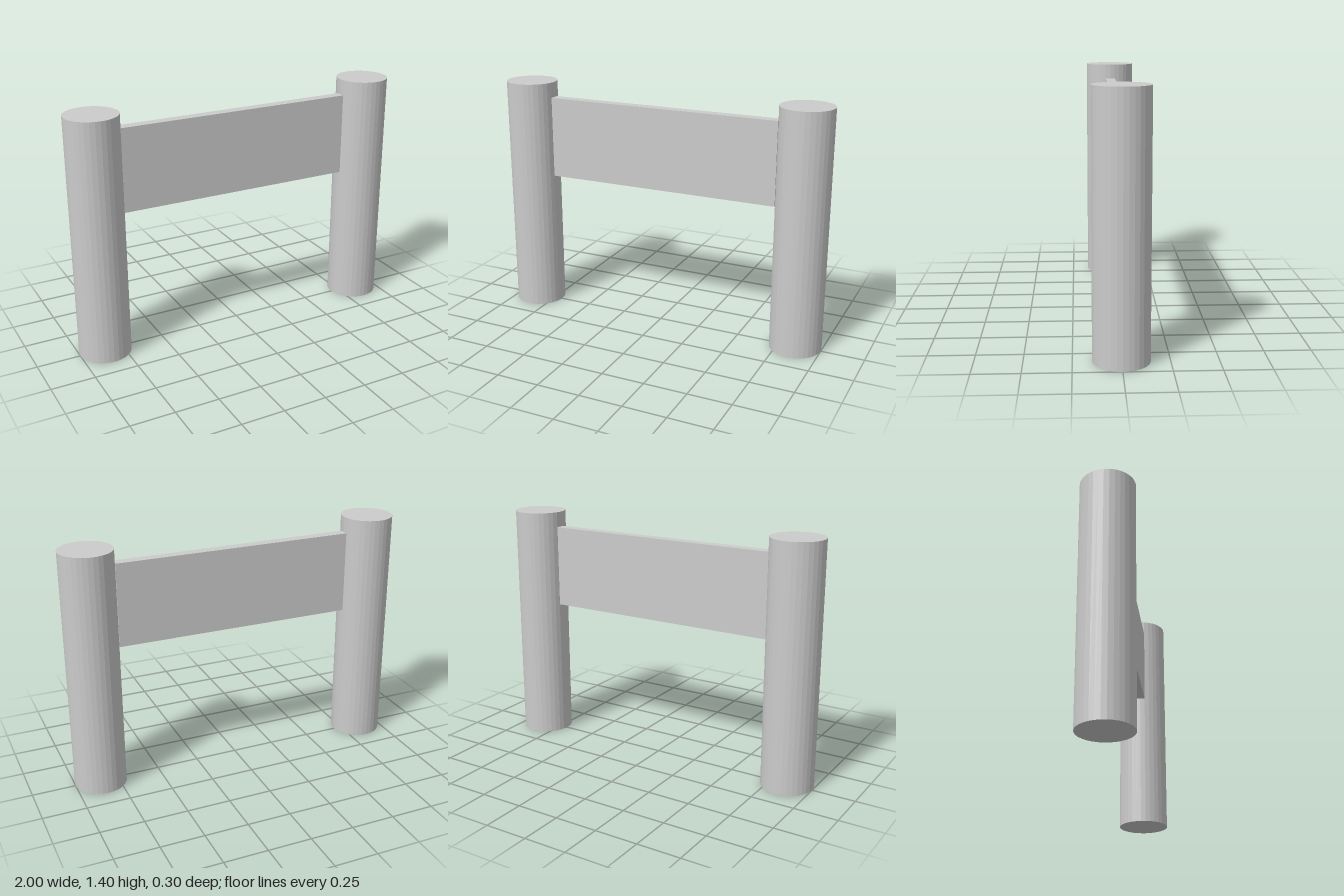
import * as THREE from 'three';

export function createModel() {
  const group = new THREE.Group();
  const material = new THREE.MeshStandardMaterial({ color: 0xcccccc, flatShading: true });

  const height = 1.4;
  const radius = 0.15;

  // Two round upright posts
  const postGeometry = new THREE.CylinderGeometry(radius, radius, height, 32);
  for (const side of [-1, 1]) {
    const post = new THREE.Mesh(postGeometry, material);
    post.name = side > 0 ? 'leftPost' : 'rightPost';
    post.position.set(side * (1 - radius), height / 2, 0);
    group.add(post);
  }

  // Thin board spanning between the posts
  const board = new THREE.Mesh(new THREE.BoxGeometry(1.402, 0.48, 0.06), material);
  board.name = 'board';
  board.position.y = 1.07;
  group.add(board);

  return group;
}
